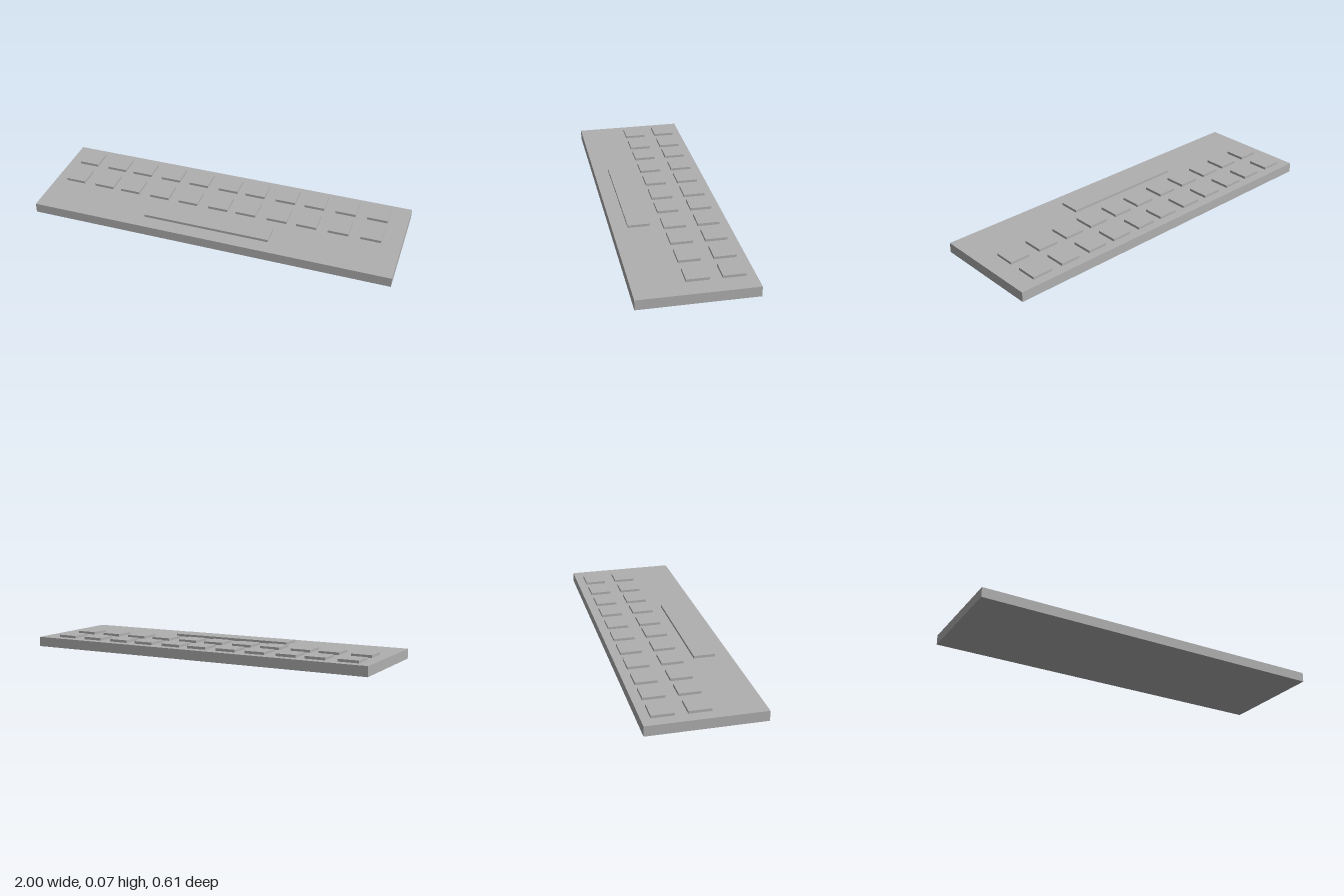
import * as THREE from 'three';

export function createModel() {
  const model = new THREE.Group();
  model.name = 'keyboard';
  const grey = new THREE.MeshStandardMaterial({ color: 0xb0b0b0 });
  grey.name = 'grey';

  const BASE_H = 0.054, KEY_H = 0.014, KEY_W = 0.112, KEY_D = 0.116;

  // Box standing on height y
  function addBox(parent, name, w, h, d, x, y, z) {
    const mesh = new THREE.Mesh(new THREE.BoxGeometry(w, h, d), grey);
    mesh.name = name;
    mesh.position.set(x, y + h / 2, z);
    parent.add(mesh);
  }

  // Slab body
  addBox(model, 'base', 2, BASE_H, 0.612, 0, 0, 0);

  // Two rows of square keys with slightly uneven spacing
  const columns = [-0.88, -0.703, -0.543, -0.366, -0.195, -0.019, 0.142, 0.318, 0.484, 0.66, 0.837];
  const rows = { backKeys: -0.199, middleKeys: -0.018 };
  for (const [name, z] of Object.entries(rows)) {
    const row = new THREE.Group();
    row.name = name;
    columns.forEach((x, i) => addBox(row, `key${i + 1}`, KEY_W, KEY_H, KEY_D, x, BASE_H, z));
    model.add(row);
  }

  // Long key at the front
  addBox(model, 'spaceBar', 0.703, KEY_H, KEY_D, -0.029, BASE_H, 0.165);

  return model;
}
